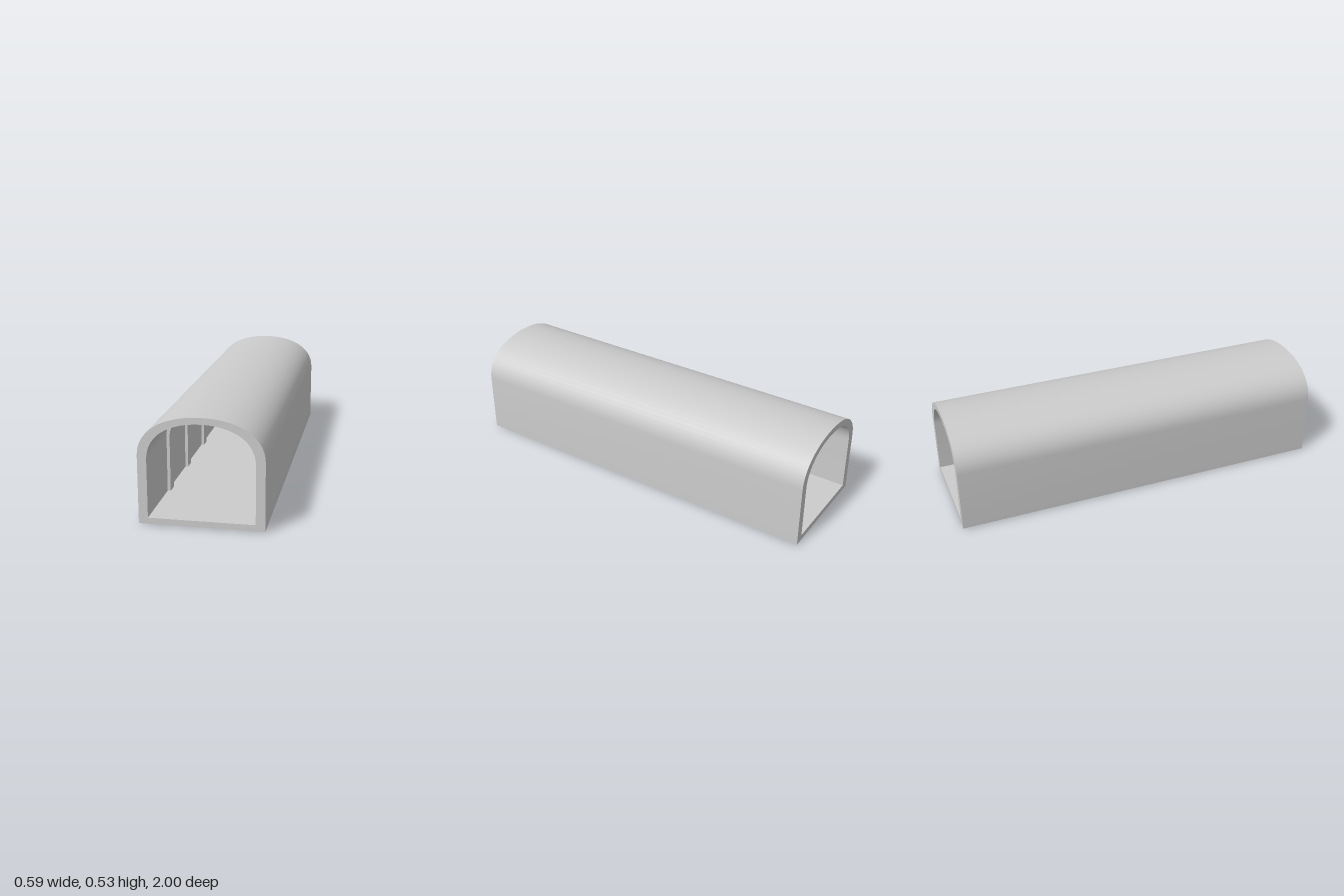
import * as THREE from 'three';
import { toCreasedNormals } from 'three/addons/utils/BufferGeometryUtils.js';

const material = new THREE.MeshStandardMaterial({ color: 0xcccccc });

// Tunnel outline: flat base, straight walls, full rounded arch
function archPath(PathType, halfWidth, base, spring, top) {
  const k = 0.61;
  const shoulder = spring + (top - spring) * k;
  const path = new PathType();
  path.moveTo(-halfWidth, base);
  path.lineTo(halfWidth, base);
  path.lineTo(halfWidth, spring);
  path.bezierCurveTo(halfWidth, shoulder, halfWidth * k, top, 0, top);
  path.bezierCurveTo(-halfWidth * k, top, -halfWidth, shoulder, -halfWidth, spring);
  path.closePath();
  return path;
}

// Hollow ring between two outlines, extruded along z and centred on it
function archRing(outer, inner, length) {
  const shape = archPath(THREE.Shape, ...outer);
  shape.holes.push(archPath(THREE.Path, ...inner));
  const geometry = new THREE.ExtrudeGeometry(shape, {
    depth: length, bevelEnabled: false, curveSegments: 14,
  });
  geometry.translate(0, 0, -length / 2);
  return toCreasedNormals(geometry, Math.PI / 6);
}

export function createModel() {
  const group = new THREE.Group();
  group.name = 'tunnel';

  // Outer lining with floor
  const shell = new THREE.Mesh(
    archRing([0.296, 0.005, 0.333, 0.526], [0.252, 0.035, 0.318, 0.495], 2),
    material
  );
  shell.name = 'tunnelShell';
  group.add(shell);

  // Reinforcing ribs: proud of the inner walls, and slightly below the base
  const ribGeometry = archRing([0.28, 0, 0.325, 0.512], [0.238, 0.018, 0.312, 0.476], 0.064);
  [0.61, 0.235, -0.163, -0.541].forEach((z, i) => {
    const rib = new THREE.Mesh(ribGeometry, material);
    rib.name = `rib${i + 1}`;
    rib.position.set(0.0015, 0, z);
    group.add(rib);
  });

  return group;
}
